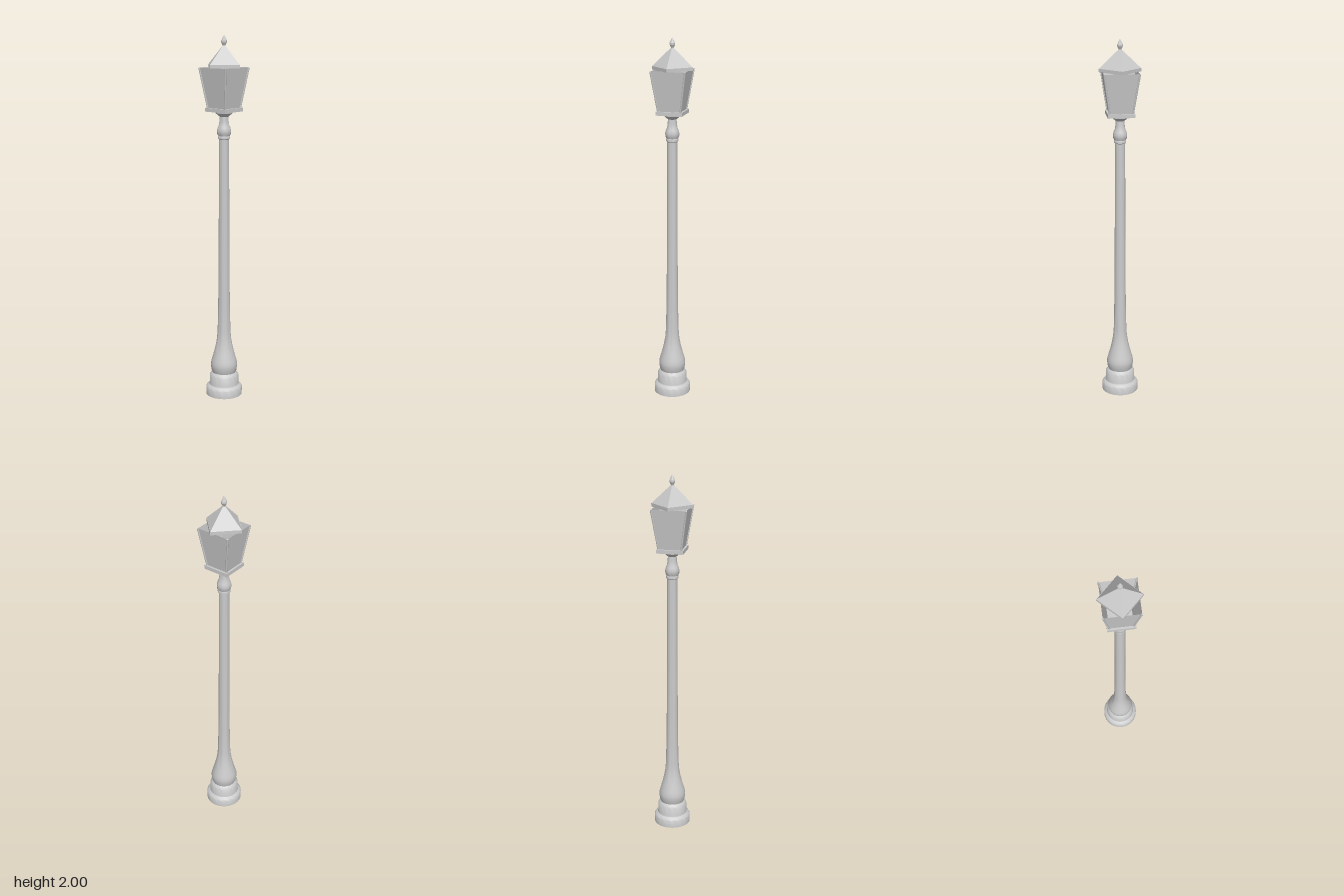
import * as THREE from 'three';
import { toCreasedNormals } from 'three/addons/utils/BufferGeometryUtils.js';

export function createModel() {
  const lamp = new THREE.Group();
  lamp.name = 'streetLamp';
  const smooth = new THREE.MeshStandardMaterial({ color: 0xcccccc });
  const flat = new THREE.MeshStandardMaterial({ color: 0xcccccc, flatShading: true });
  const pane = new THREE.MeshStandardMaterial({ color: 0xcccccc, flatShading: true, side: THREE.DoubleSide });

  const add = (name, geometry, material, y = 0) => {
    const mesh = new THREE.Mesh(geometry, material);
    mesh.name = name;
    mesh.position.y = y;
    lamp.add(mesh);
    return mesh;
  };
  const turned = (profile, sides = 32) => toCreasedNormals(
    new THREE.LatheGeometry(profile.map(([r, y]) => new THREE.Vector2(r, y)), sides), 0.6);

  // Stepped round plinth
  add('plinth', turned([
    [0, 0], [0.101, 0], [0.101, 0.042], [0.097, 0.049], [0.083, 0.058],
    [0.081, 0.064], [0.081, 0.112], [0.076, 0.12], [0.066, 0.13], [0, 0.13],
  ]), smooth);

  // Bell-shaped foot sweeping into a slightly tapered shaft
  add('shaft', turned([
    [0.064, 0.125], [0.07, 0.14], [0.074, 0.165], [0.074, 0.18], [0.069, 0.202],
    [0.058, 0.24], [0.047, 0.285], [0.04, 0.325], [0.036, 0.37],
    [0.033, 0.5], [0.031, 0.66], [0.029, 1.0], [0.028, 1.28], [0.027, 1.46],
  ]), smooth);

  // Collar and neck below the lantern
  add('collar', turned([
    [0.026, 1.447], [0.033, 1.452], [0.033, 1.462], [0.031, 1.467], [0.037, 1.477],
    [0.038, 1.495], [0.034, 1.511], [0.028, 1.525], [0.025, 1.545],
    [0.023, 1.57], [0.03, 1.575], [0.045, 1.588], [0.047, 1.599], [0, 1.599],
  ]), smooth);

  // Square lantern floor
  add('lanternFloor', new THREE.BoxGeometry(0.144, 0.02, 0.144), flat, 1.607);

  // Four flaring panes, open at the top
  const low = 1.615, high = 1.83, halfLow = 0.061, halfHigh = 0.093;
  const panes = new THREE.CylinderGeometry(
    halfHigh * Math.SQRT2, halfLow * Math.SQRT2, high - low, 4, 1, true);
  panes.rotateY(Math.PI / 4);
  add('lanternPanes', panes, pane, (low + high) / 2);

  // Corner bars leaning outwards
  for (const sx of [-1, 1]) for (const sz of [-1, 1]) {
    const foot = new THREE.Vector3(sx * halfLow, low, sz * halfLow);
    const head = new THREE.Vector3(sx * halfHigh, high, sz * halfHigh);
    const bar = add('cornerBar', new THREE.CylinderGeometry(0.005, 0.005, foot.distanceTo(head), 8), smooth);
    bar.position.copy(foot).lerp(head, 0.5);
    bar.quaternion.setFromUnitVectors(new THREE.Vector3(0, 1, 0), head.sub(foot).normalize());
  }

  // Roof set diagonally to the panes: thin eave and pyramid
  add('roofEave', new THREE.CylinderGeometry(0.112, 0.112, 0.018, 4), flat, 1.838);
  add('roof', new THREE.ConeGeometry(0.11, 0.105, 4), flat, 1.8995);

  // Pointed finial
  add('finial', new THREE.LatheGeometry([
    [0, 1.935], [0.007, 1.937], [0.008, 1.947], [0.015, 1.961], [0.015, 1.97], [0.008, 1.985], [0, 2],
  ].map(([r, y]) => new THREE.Vector2(r, y)), 8), flat);

  return lamp;
}
